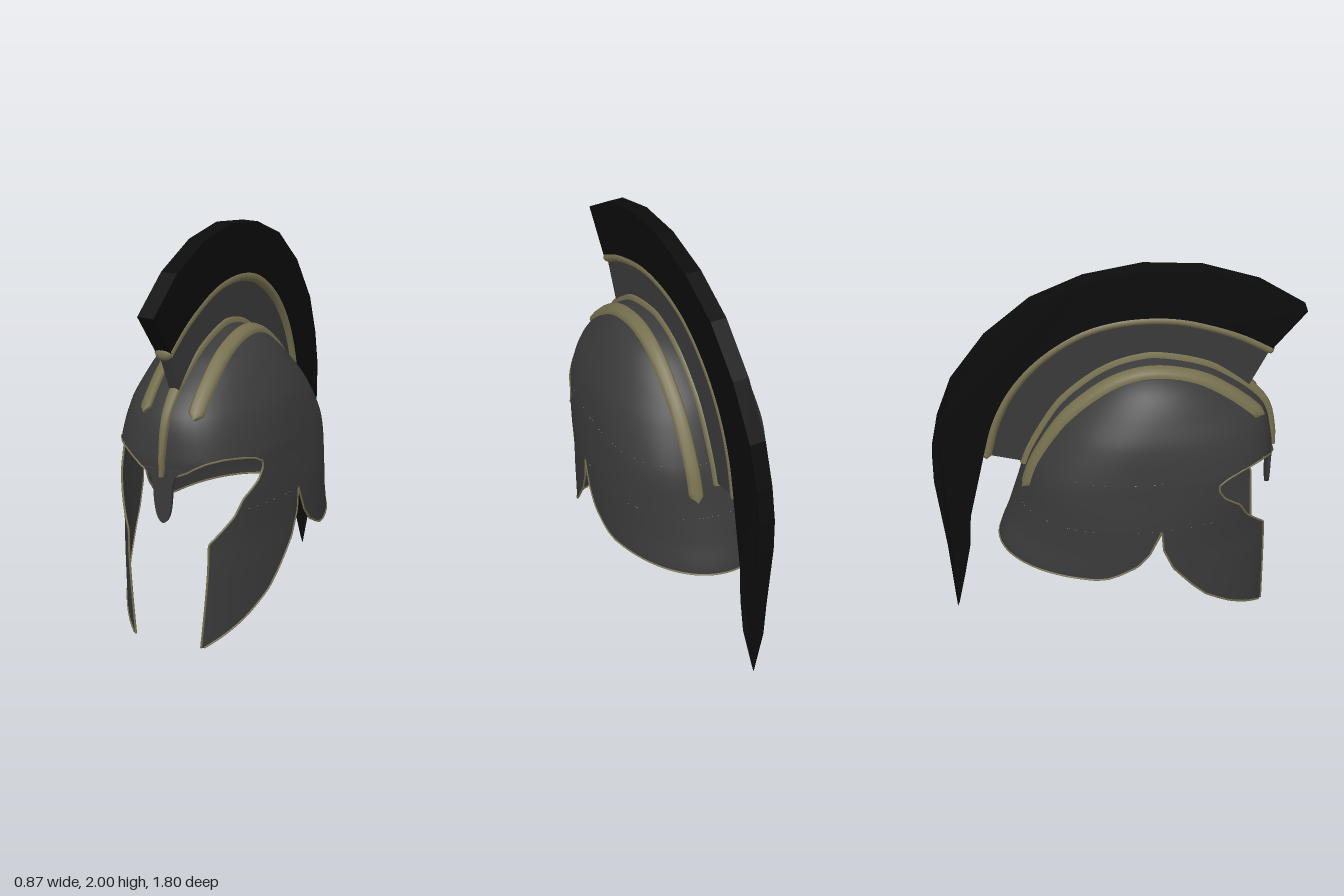
import * as THREE from 'three';
import { mergeGeometries } from 'three/addons/utils/BufferGeometryUtils.js';

const steel = new THREE.MeshStandardMaterial({ color: 0x3a3a3a, side: THREE.DoubleSide });
steel.name = 'dark steel';
const bronze = new THREE.MeshStandardMaterial({ color: 0x76704f, side: THREE.DoubleSide });
bronze.name = 'dull bronze';
const black = new THREE.MeshStandardMaterial({ color: 0x0c0c0c });
black.name = 'black hair';

// Shell cross-sections: y, front z, back z, centre z, half width, squareness
const SECTIONS = [
  [0.1, 0.80, -0.60, 0.05, 0.43, 2], [0.48, 0.82, -0.59, 0.05, 0.43, 2],
  [0.63, 0.82, -0.54, 0.05, 0.43, 2], [0.8, 0.80, -0.485, 0.06, 0.425, 2.2],
  [0.95, 0.768, -0.44, 0.08, 0.41, 2.5], [1.04, 0.765, -0.405, 0.10, 0.40, 2.5],
  [1.2, 0.73, -0.32, 0.13, 0.368, 2.2], [1.3, 0.655, -0.25, 0.15, 0.325, 2],
  [1.4, 0.53, -0.14, 0.17, 0.262, 2], [1.46, 0.43, -0.05, 0.17, 0.2, 2],
  [1.5, 0.30, 0.05, 0.17, 0.12, 2], [1.525, 0.17, 0.17, 0.17, 0, 2],
];
const TOP = 1.525, NOTCH = 0.77, BROW = 1.036, NAPE = 0.478;

// Edges as [y, z]; the brow edge as [y, x]
const CHEEK_FRONT = [[0.1, 0.735], [0.63, 0.72], [0.75, 0.62], [0.83, 0.58], [0.9, 0.5], [0.95, 0.47],
  [0.985, 0.47], [1.015, 0.52], [1.03, 0.58], [1.036, 0.66]];
const CHEEK_BACK = [[0.1, 0.725], [0.12, 0.7], [0.22, 0.55], [0.32, 0.42], [0.4, 0.35], [0.53, 0.25], [0.65, 0.2], [0.77, 0.19]];
const NAPE_FRONT = [[0.478, -0.13], [0.485, -0.08], [0.51, -0.02], [0.56, 0.07], [0.63, 0.13], [0.72, 0.17], [0.77, 0.19]];
const BROW_EDGE = [[0.95, 0.05], [0.965, 0.085], [0.98, 0.12], [1.0, 0.15], [1.02, 0.19], [1.03, 0.22], [1.036, 0.26]];

// Table lookup by first column, smooth (Hermite) or straight
function sample(table, y, smooth = false) {
  let i = 0;
  while (i < table.length - 2 && y > table[i + 1][0]) i++;
  const a = table[i], b = table[i + 1], h = b[0] - a[0];
  const s = THREE.MathUtils.clamp((y - a[0]) / h, 0, 1);
  const p = table[Math.max(i - 1, 0)], q = table[Math.min(i + 2, table.length - 1)];
  return a.map((v, k) => {
    if (!smooth) return v + (b[k] - v) * s;
    const m0 = (b[k] - p[k]) / (b[0] - p[0]) * h, m1 = (q[k] - v) / (q[0] - a[0]) * h;
    const s2 = s * s, s3 = s2 * s;
    return (2 * s3 - 3 * s2 + 1) * v + (s3 - 2 * s2 + s) * m0 + (3 * s2 - 2 * s3) * b[k] + (s3 - s2) * m1;
  });
}

// Shell point at angle t (0 = front, PI = back) and height y
const spow = (v, e) => Math.sign(v) * Math.pow(Math.abs(v), e);
function shell(t, y) {
  const [, zf, zb, zc, w, p] = sample(SECTIONS, y, true);
  const c = spow(Math.cos(t), 2 / p);
  return new THREE.Vector3(w * spow(Math.sin(t), 2 / p), y, zc + c * (c > 0 ? zf - zc : zc - zb));
}
function angleAtZ(table, y) {
  const [, zf, zb, zc, , p] = sample(SECTIONS, y, true), z = sample(table, y)[1];
  const u = THREE.MathUtils.clamp((z - zc) / (z > zc ? zf - zc : zc - zb), -1, 1);
  return Math.acos(spow(u, p / 2));
}
function browAngle(y) {
  const [, , , , w, p] = sample(SECTIONS, y, true);
  return Math.asin(Math.pow(sample(BROW_EDGE, y)[1] / w, p / 2));
}
function shellNormal(t, y) {
  if (y > TOP - 0.002) return new THREE.Vector3(0, 1, 0);
  const dt = shell(t + 0.01, y).sub(shell(t - 0.01, y));
  const dy = shell(t, Math.min(y + 0.004, TOP)).sub(shell(t, Math.max(y - 0.004, 0.1)));
  return dy.cross(dt).normalize().negate();
}

const steps = (a, b, n) => Array.from({ length: n + 1 }, (_, i) => a + (b - a) * i / n);

// Part of the shell between two angle limits, on one side (m = 1 or -1)
function patch(ys, from, to, m, cols = 28) {
  const pos = [], nor = [], idx = [];
  ys.forEach((y, r) => steps(from(y), to(y), cols).forEach((t, c) => {
    const p = shell(t, y), n = shellNormal(t, y);
    pos.push(m * p.x, p.y, p.z);
    // keep normals outward
    const out = n.x * p.x + n.z * (p.z - 0.13) + n.y * Math.max(0, p.y - 0.9) < 0 ? -1 : 1;
    nor.push(m * n.x * out, n.y * out, n.z * out);
    if (r && c) {
      const d = r * (cols + 1) + c, a = d - cols - 2, b = a + 1, e = d - 1;
      if (m > 0) idx.push(a, b, d, a, d, e); else idx.push(a, d, b, a, e, d);
    }
  }));
  const g = new THREE.BufferGeometry();
  g.setAttribute('position', new THREE.Float32BufferAttribute(pos, 3));
  g.setAttribute('normal', new THREE.Float32BufferAttribute(nor, 3));
  g.setIndex(idx);
  return g;
}

// Point just off the shell at sideways position x, along a ray in the side plane
function onShell(x, a, lift = 0) {
  let lo = 0, hi = 1.2;
  for (let i = 0; i < 30; i++) {
    const r = (lo + hi) / 2, y = 0.85 + r * Math.sin(a), z = 0.15 + r * Math.cos(a);
    const [, zf, zb, zc, w, p] = sample(SECTIONS, y, true);
    const u = Math.abs(z - zc) / Math.max(1e-4, z > zc ? zf - zc : zc - zb);
    const inside = y < TOP && Math.pow(u, p) + Math.pow(Math.abs(x) / Math.max(w, 1e-4), p) < 1;
    if (inside) lo = r; else hi = r;
  }
  return new THREE.Vector3(x, 0.85 + (lo + lift) * Math.sin(a), 0.15 + (lo + lift) * Math.cos(a));
}

// Raised band running front to back over the shell
function band(x0, a0, a1, halfAt, lift) {
  const pos = [], idx = [], n = 56;
  const profile = [[-1, -0.012], [-1, lift * 0.5], [-0.7, lift * 0.9], [0, lift], [0.7, lift * 0.9], [1, lift * 0.5], [1, -0.012]];
  const k = profile.length;
  steps(0, 1, n).forEach((s, r) => {
    const half = halfAt(s);
    profile.forEach(([px, l], c) => {
      pos.push(...onShell(x0 + px * half, a0 + (a1 - a0) * s, l));
      if (r && c) {
        const d = r * k + c, a = d - k - 1, b = a + 1, e = d - 1;
        idx.push(a, b, d, a, d, e);
      }
    });
  });
  const g = new THREE.BufferGeometry();
  g.setAttribute('position', new THREE.Float32BufferAttribute(pos, 3));
  g.setIndex(idx);
  g.computeVertexNormals();
  return g;
}

// Flat plate cut from a side outline of [z, y] points
function sidePlate(points, half) {
  const g = new THREE.ExtrudeGeometry(new THREE.Shape(points.map(([z, y]) => new THREE.Vector2(z, y))),
    { depth: 2 * half, bevelEnabled: false });
  return g.translate(0, 0, -half).rotateY(-Math.PI / 2);
}

export function createModel() {
  const model = new THREE.Group();
  const add = (name, geometry, material) => {
    const mesh = new THREE.Mesh(geometry, material);
    mesh.name = name;
    model.add(mesh);
    return mesh;
  };
  const front = y => angleAtZ(CHEEK_FRONT, y), back = y => angleAtZ(CHEEK_BACK, y);
  const nape = y => angleAtZ(NAPE_FRONT, y), zero = () => 0, pi = () => Math.PI;

  // Helmet shell
  const domeRows = steps(0, Math.PI / 2, 32).map(a => BROW + (TOP - BROW) * Math.sin(a));
  const both = (...args) => mergeGeometries([patch(...args, 1), patch(...args, -1)]);
  add('cheekGuards', both(steps(0.1, NOTCH, 36), front, back), steel);
  add('napeGuard', both(steps(NAPE, NOTCH, 24), nape, pi), steel);
  add('shellSides', both(steps(NOTCH, BROW, 44), front, pi), steel);
  add('brow', both(steps(0.95, BROW, 16), zero, browAngle), steel);
  add('dome', both(domeRows, zero, pi), steel);

  // Nose guard
  const nose = new THREE.Shape();
  nose.moveTo(-0.1, 0.985);
  nose.quadraticCurveTo(-0.05, 0.95, -0.048, 0.88);
  nose.bezierCurveTo(-0.045, 0.8, -0.035, 0.725, 0, 0.72);
  nose.bezierCurveTo(0.035, 0.725, 0.045, 0.8, 0.048, 0.88);
  nose.quadraticCurveTo(0.05, 0.95, 0.1, 0.985);
  add('noseGuard', new THREE.ExtrudeGeometry(nose, { depth: 0.018, bevelEnabled: false }).translate(0, 0, 0.753), steel);

  // Thin bronze trim along the openings
  const openEdge = [...steps(0.1, BROW, 70).map(y => shell(front(y), y)),
    ...steps(BROW - 0.003, 0.95, 14).map(y => shell(browAngle(y), y))];
  const lowerEdge = [...steps(0.1, NOTCH, 40).map(y => shell(back(y), y)),
    ...steps(NOTCH - 0.01, NAPE, 26).map(y => shell(nape(y), y)),
    ...steps(nape(NAPE) + 0.04, Math.PI, 20).map(t => shell(t, NAPE))];
  for (const m of [1, -1]) {
    for (const [name, pts] of [['openingTrim', openEdge], ['lowerTrim', lowerEdge]]) {
      const curve = new THREE.CatmullRomCurve3(pts.map(p => new THREE.Vector3(m * p.x, p.y, p.z)));
      add(name, new THREE.TubeGeometry(curve, 120, 0.005, 6), bronze);
    }
    // Side bands with rounded ends
    const round = s => 0.031 * Math.sqrt(Math.max(0, 1 - Math.pow(Math.max(0, 1 - Math.min(s, 1 - s) / 0.018), 2))) + 0.001;
    add('sideBand', band(m * 0.13, 0.59, 3.12, round, 0.022), bronze);
  }
  add('centreRidge', band(0, 0.16, 3.01, s => 0.01 + 0.028 * Math.min(1, s / 0.35), 0.028), bronze);

  // Crest holder: steel fin with a rolled bronze rim
  const arc = [[0.74, 1.53], [0.6, 1.61], [0.45, 1.67], [0.3, 1.712], [0.15, 1.725], [0, 1.713], [-0.15, 1.67],
    [-0.3, 1.58], [-0.42, 1.47], [-0.52, 1.33], [-0.59, 1.17], [-0.635, 0.99]];
  const base = steps(3.0, 0.75, 30).map(a => onShell(0, a, -0.02)).map(p => [p.z, p.y]);
  add('crestFin', sidePlate([...arc, ...base], 0.025), steel);
  const rimCurve = new THREE.CatmullRomCurve3(arc.map(([z, y]) => new THREE.Vector3(0, y, z)));
  add('crestRim', new THREE.TubeGeometry(rimCurve, 48, 0.031, 12).scale(1.5, 1, 1), bronze);
  for (const [z, y] of [arc[0], arc[arc.length - 1]])
    add('rimEnd', new THREE.SphereGeometry(0.031, 12, 8).scale(1.4, 1, 0.7).translate(0, y, z), bronze);

  // Hair crest, narrowing to a point at the tail
  const hair = sidePlate([[0.905, 1.74], [0.68, 1.89], [0.41, 1.98], [0.13, 2.0], [-0.15, 1.95], [-0.4, 1.84],
    [-0.62, 1.65], [-0.79, 1.41], [-0.865, 1.2], [-0.9, 1.02], [-0.9, 0.85], [-0.855, 0.45], [-0.84, 0.25],
    [-0.825, 0], [-0.815, 0.03], [-0.775, 0.25], [-0.742, 0.43], [-0.73, 0.62], [-0.65, 0.99],
    ...arc.slice().reverse()], 0.04);
  const p = hair.attributes.position;
  for (let i = 0; i < p.count; i++) p.setX(i, p.getX(i) * Math.min(1, 0.04 + p.getY(i) / 0.27));
  hair.computeVertexNormals();
  add('hairCrest', hair, black);
  return model;
}
